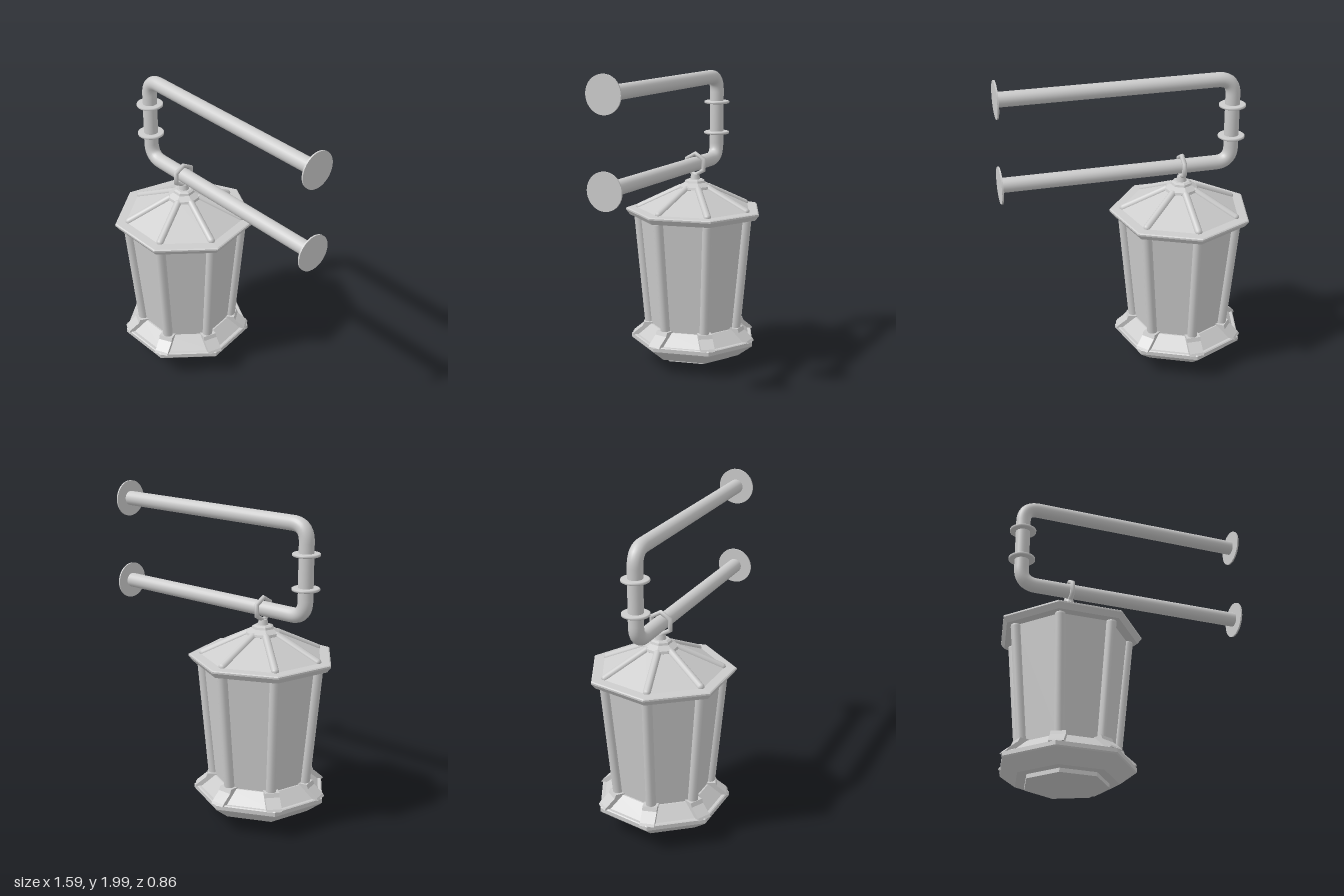
import * as THREE from 'three';

const SIDES = 7;
const CX = -0.355, CZ = 0.025; // lantern axis
const flat = new THREE.MeshStandardMaterial({ color: 0xcccccc, flatShading: true });
const smooth = new THREE.MeshStandardMaterial({ color: 0xcccccc });

function add(parent, name, geometry, material) {
  const mesh = new THREE.Mesh(geometry, material);
  mesh.name = name;
  parent.add(mesh);
  return mesh;
}

// Seven-sided turned body from [radius, height] pairs, one corner facing the back
function heptagon(points) {
  return new THREE.LatheGeometry(points.map(([r, y]) => new THREE.Vector2(r, y)), SIDES, Math.PI);
}

// Round bar between two points
function bar(parent, name, a, b, radius) {
  const dir = new THREE.Vector3().subVectors(b, a);
  const mesh = add(parent, name, new THREE.CapsuleGeometry(radius, dir.length(), 4, 12), smooth);
  mesh.position.addVectors(a, b).multiplyScalar(0.5);
  mesh.quaternion.setFromUnitVectors(new THREE.Vector3(0, 1, 0), dir.normalize());
}

function createLantern() {
  const lantern = new THREE.Group();
  lantern.name = 'lantern';
  lantern.position.set(CX, 0, CZ);

  add(lantern, 'bottomFinial', heptagon([[0, 0.005], [0.26, 0.055], [0.26, 0.09]]), flat);
  add(lantern, 'base', heptagon([[0, 0.08], [0.32, 0.08], [0.415, 0.152], [0.422, 0.16],
    [0.422, 0.185], [0.415, 0.19], [0.395, 0.19], [0.31, 0.265], [0.28, 0.265]]), flat);
  add(lantern, 'glass', heptagon([[0.298, 0.25], [0.37, 1.01]]), flat);
  add(lantern, 'roof', heptagon([[0, 1.0], [0.43, 1.0], [0.455, 1.032], [0.455, 1.042],
    [0.447, 1.047], [0.385, 1.05], [0.1, 1.185]]), flat);
  add(lantern, 'roofCap', heptagon([[0.09, 1.165], [0.115, 1.18], [0.11, 1.195], [0.07, 1.217],
    [0.065, 1.23], [0.05, 1.238], [0, 1.24]]), flat);

  // Tapered foot outline: x is the distance from the axis
  const footShape = new THREE.Shape([[0.27, 0.185], [0.415, 0.185], [0.405, 0.2], [0.345, 0.25],
    [0.335, 0.275], [0.27, 0.275]].map(([x, y]) => new THREE.Vector2(x, y)));
  const footGeo = new THREE.ExtrudeGeometry(footShape, { depth: 0.09, bevelEnabled: false });
  footGeo.translate(0, 0, -0.045).rotateY(-Math.PI / 2);

  for (let i = 0; i < SIDES; i++) {
    const corner = new THREE.Group();
    corner.name = 'corner' + (i + 1);
    corner.rotation.y = Math.PI + (i * 2 * Math.PI) / SIDES;
    bar(corner, 'post', new THREE.Vector3(0, 0.26, 0.3), new THREE.Vector3(0, 0.99, 0.368), 0.032);
    bar(corner, 'roofRib', new THREE.Vector3(0, 1.052, 0.365), new THREE.Vector3(0, 1.18, 0.095), 0.024);
    add(corner, 'foot', footGeo, flat);
    lantern.add(corner);
  }

  // Collar and the link that hangs from the lower pipe
  add(lantern, 'collar', new THREE.CylinderGeometry(0.026, 0.034, 0.04, 16), smooth).position.y = 1.252;
  const linkGeo = new THREE.TorusGeometry(0.07, 0.015, 10, 6);
  linkGeo.rotateZ(Math.PI / 2).rotateY(Math.PI / 2);
  add(lantern, 'hangingLink', linkGeo, smooth).position.y = 1.335;
  return lantern;
}

function createBracket() {
  const bracket = new THREE.Group();
  bracket.name = 'wallBracket';
  bracket.position.z = CZ;
  const yTop = 1.884, yLow = 1.337, xBend = -0.674, xWall = 0.79, r = 0.1;
  const v = (x, y) => new THREE.Vector3(x, y, 0);

  // U-shaped pipe
  const path = new THREE.CurvePath();
  path.add(new THREE.LineCurve3(v(xWall, yTop), v(xBend + r, yTop)));
  path.add(new THREE.QuadraticBezierCurve3(v(xBend + r, yTop), v(xBend, yTop), v(xBend, yTop - r)));
  path.add(new THREE.LineCurve3(v(xBend, yTop - r), v(xBend, yLow + r)));
  path.add(new THREE.QuadraticBezierCurve3(v(xBend, yLow + r), v(xBend, yLow), v(xBend + r, yLow)));
  path.add(new THREE.LineCurve3(v(xBend + r, yLow), v(xWall, yLow)));
  add(bracket, 'pipe', new THREE.TubeGeometry(path, 180, 0.046, 24), smooth);

  // Wall plates
  for (const y of [yTop, yLow]) {
    const plate = add(bracket, 'wallPlate', new THREE.CylinderGeometry(0.115, 0.115, 0.01, 40), smooth);
    plate.rotation.z = Math.PI / 2;
    plate.position.set(xWall, y, 0);
  }

  // Rings on the upright
  const ringProfile = [[0.04, -0.009], [0.078, -0.009], [0.084, -0.005], [0.084, 0.005],
    [0.078, 0.009], [0.04, 0.009]].map(([x, y]) => new THREE.Vector2(x, y));
  for (const y of [1.712, 1.508]) {
    add(bracket, 'pipeRing', new THREE.LatheGeometry(ringProfile, 32), smooth).position.set(xBend, y, 0);
  }
  return bracket;
}

export function createModel() {
  const model = new THREE.Group();
  model.name = 'hangingLantern';
  model.add(createLantern(), createBracket());
  return model;
}
